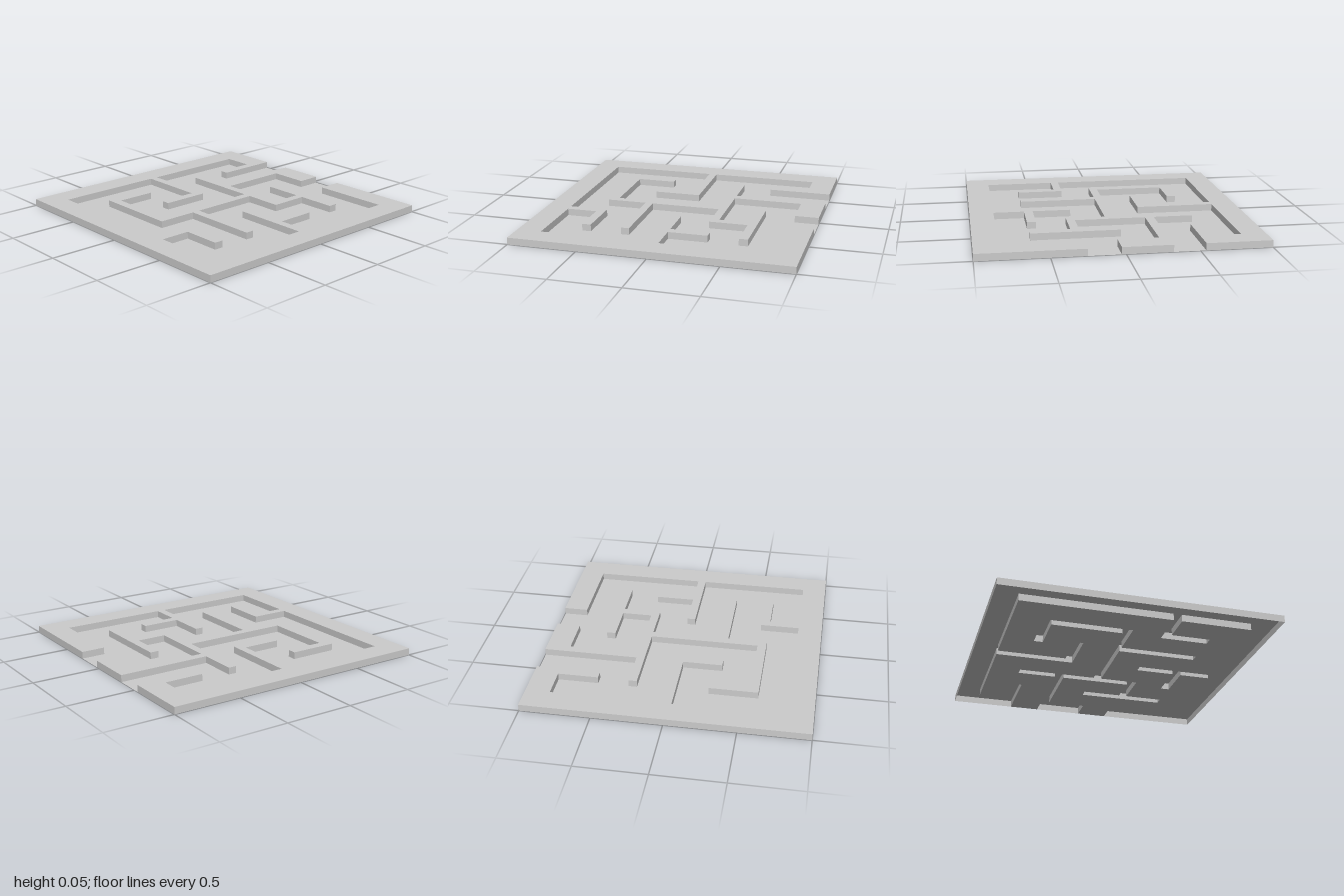
import * as THREE from 'three';

const HEIGHT = 0.05;
const material = new THREE.MeshStandardMaterial({ color: 0xcccccc, flatShading: true, side: THREE.DoubleSide });

// Right-angled path: each value in turn moves to a new x, then a new z
function mazePath(x, z, moves) {
  const points = [new THREE.Vector2(x, -z)];
  moves.forEach((v, i) => {
    if (i % 2 === 0) x = v;
    else z = v;
    points.push(new THREE.Vector2(x, -z));
  });
  return points;
}

function flatFace(name, points, y) {
  const geometry = new THREE.ShapeGeometry(new THREE.Shape(points));
  geometry.rotateX(-Math.PI / 2).translate(0, y, 0);
  const mesh = new THREE.Mesh(geometry, material);
  mesh.name = name;
  return mesh;
}

// Upright faces all round an outline, open below
function sideFaces(name, outline) {
  const points = THREE.ShapeUtils.isClockWise(outline) ? [...outline].reverse() : outline;
  const positions = [];
  points.forEach((a, i) => {
    const b = points[(i + 1) % points.length];
    const a0 = [a.x, 0, -a.y], b0 = [b.x, 0, -b.y];
    const a1 = [a.x, HEIGHT, -a.y], b1 = [b.x, HEIGHT, -b.y];
    positions.push(...a0, ...b0, ...b1, ...a0, ...b1, ...a1);
  });
  const geometry = new THREE.BufferGeometry();
  geometry.setAttribute('position', new THREE.Float32BufferAttribute(positions, 3));
  geometry.computeVertexNormals();
  const mesh = new THREE.Mesh(geometry, material);
  mesh.name = name;
  return mesh;
}

function raisedWall(name, outline) {
  const wall = new THREE.Group();
  wall.name = name;
  wall.add(flatFace(name + 'Top', outline, HEIGHT), sideFaces(name + 'Sides', outline));
  return wall;
}

export function createModel() {
  const group = new THREE.Group();
  group.name = 'maze';

  // Inner edge of the border with its stubs, from one opening round to the other
  const borderEdge = mazePath(1, -0.54, [
    0.535, -0.605, 0.825, -0.825, 0.03, -0.255, -0.315, -0.32, -0.03, -0.825,
    -0.825, 0.255, -0.54, 0.6, -0.605, 0.315, -0.825, 0.825, -0.03, 0.255,
    0.03, 0.535, 0.315, 0.6, 0.03, 0.825, 0.825, 0.255, 1,
  ]);

  // Edge of the branching wall that enters between the two openings
  const branchEdge = mazePath(1, 0.03, [
    0.825, -0.255, 0.315, 0.255, 0.535, -0.03, 0.6, 0.6, 0.535, 0.315,
    0.255, 0.03, -0.255, 0.6, -0.315, 0.03, -0.605, -0.605, -0.255, -0.54,
    -0.54, -0.03, 0.255, -0.605, 0.315, -0.32, 1,
  ]);

  // Border closed by the outer corners
  const corners = [[1, -1], [-1, -1], [-1, 1], [1, 1]].map(([x, y]) => new THREE.Vector2(x, y));
  group.add(raisedWall('borderWall', [...borderEdge, ...corners]));
  group.add(raisedWall('branchWall', branchEdge));

  // Corridor floor fills the space between the two walls
  group.add(flatFace('corridorFloor', [...borderEdge, ...branchEdge], 0));
  return group;
}
